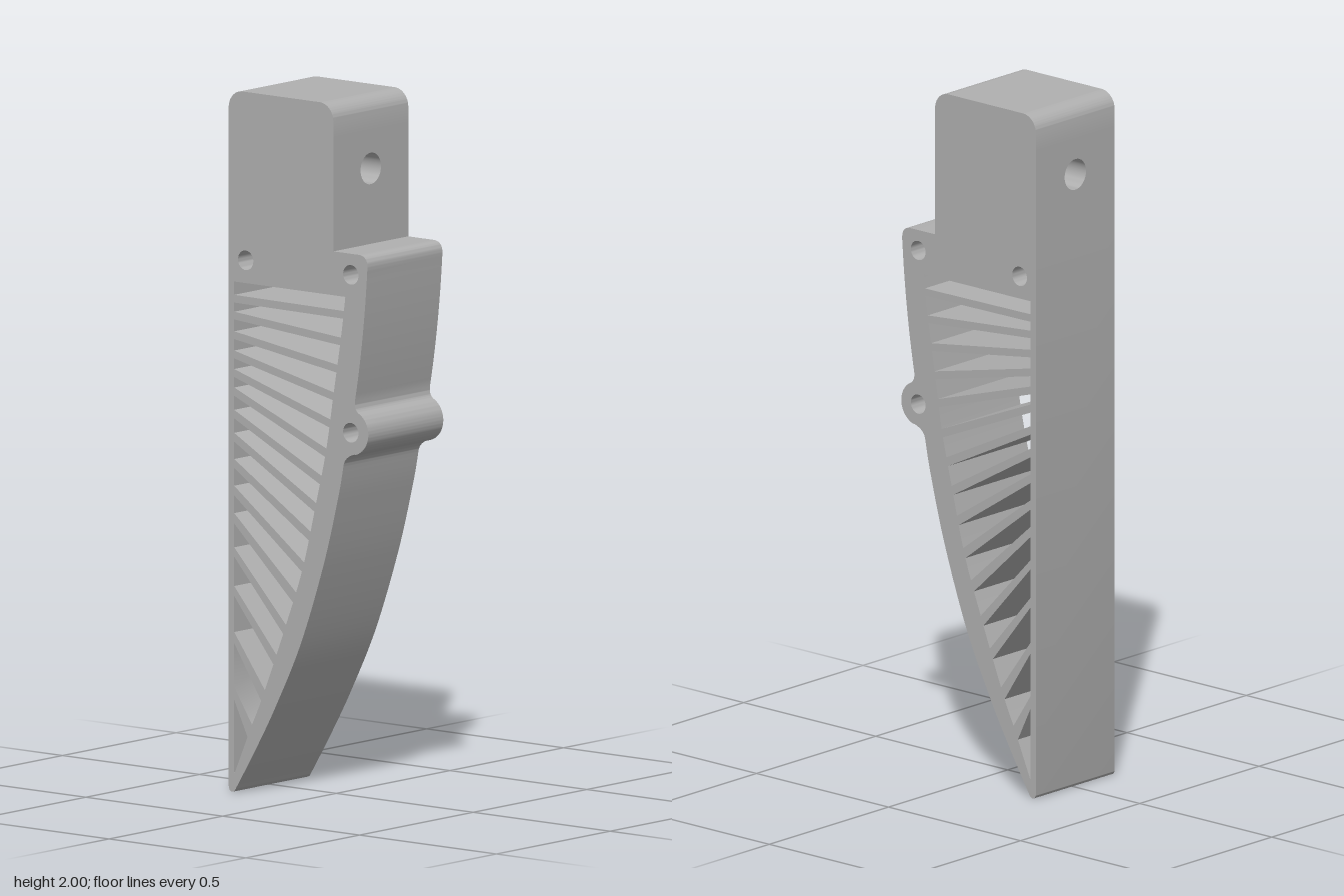
import * as THREE from 'three';
import { toCreasedNormals } from 'three/addons/utils/BufferGeometryUtils.js';

const DEPTH = 0.33;
const LEFT = -0.256, RIGHT = 0.126;   // sides of the mounting block
const WALL = -0.236;                  // inner face of the straight wall
const SPLIT_LOW = 1.7, SPLIT_HIGH = 1.9;

const v = (x, y) => new THREE.Vector2(x, y);

// inner edge of the curved wall, listed from bottom to top
const INNER = [[-0.234, 0.055], [-0.177, 0.185], [-0.13, 0.287], [-0.05, 0.488], [0.014, 0.663],
  [0.062, 0.85], [0.1, 1.01], [0.126, 1.167], [0.153, 1.33], [0.17, 1.453]];
const innerCurve = new THREE.SplineCurve(INNER.map(p => v(...p))).getPoints(90);

function innerX(y) {
  for (let i = 1; i < innerCurve.length; i++) {
    const a = innerCurve[i - 1], b = innerCurve[i];
    if (y <= b.y) return a.x + (b.x - a.x) * (y - a.y) / (b.y - a.y);
  }
  return innerCurve[innerCurve.length - 1].x;
}

// rib centre lines: height at the straight wall, height at the curved wall
const RIBS = [[1.406, 1.403], [1.358, 1.326], [1.302, 1.247], [1.247, 1.167], [1.194, 1.088],
  [1.141, 1.003], [1.077, 0.923], [1.011, 0.843], [0.936, 0.759], [0.859, 0.668],
  [0.78, 0.578], [0.684, 0.483], [0.573, 0.393], [0.44, 0.286], [0.281, 0.18]];

// upper and lower edge heights of each rib
function ribEdges([yl, yr], i) {
  const run = innerX(yr) - WALL;
  const half = (i < 11 ? 0.011 : 0.009) * Math.hypot(run, yl - yr) / run;
  return { top: [yl + half, yr + half], bottom: [yl - half, yr - half] };
}

function circleHole(x, y, r) {
  const p = new THREE.Path();
  p.absarc(x, y, r, 0, Math.PI * 2, true);
  return p;
}

function windowHole(upper, lower) {
  const pts = [v(WALL, upper[0]), v(WALL, lower[0])];
  for (let i = 0; i <= 4; i++) {
    const y = lower[1] + (upper[1] - lower[1]) * i / 4;
    pts.push(v(innerX(y), y));
  }
  return new THREE.Path(pts);
}

function extrude(shape, depth) {
  const g = new THREE.ExtrudeGeometry(shape, { depth, bevelEnabled: false, curveSegments: 16 });
  return toCreasedNormals(g, 0.6);
}

export function createModel() {
  const group = new THREE.Group();
  const grey = new THREE.MeshStandardMaterial({ color: 0xb0b0b0 });
  grey.name = 'plain grey';
  const add = (name, geometry) => {
    const mesh = new THREE.Mesh(geometry, grey);
    mesh.name = name;
    group.add(mesh);
  };

  // ribbed body: outline with mounting tab, side lug and curved wall
  const body = new THREE.Shape();
  body.moveTo(LEFT, SPLIT_LOW);
  body.lineTo(LEFT, 0.018);
  body.quadraticCurveTo(LEFT, 0.002, -0.244, 0);
  body.quadraticCurveTo(-0.235, 0.0, -0.229, 0.012);
  body.splineThru([[-0.16, 0.125], [-0.083, 0.262], [0.008, 0.45], [0.09, 0.68],
    [0.143, 0.875], [0.164, 0.975]].map(p => v(...p)));
  body.quadraticCurveTo(0.17, 1.0, 0.205, 1.009);
  body.absarc(0.19, 1.07, 0.064, -1.3, 1.1, false);
  body.quadraticCurveTo(0.202, 1.137, 0.205, 1.16);
  body.quadraticCurveTo(0.238, 1.34, 0.25, 1.535);
  body.quadraticCurveTo(0.256, 1.58, 0.218, 1.58);
  body.lineTo(RIGHT, 1.58);
  body.lineTo(RIGHT, SPLIT_LOW);
  body.closePath();

  // screw holes and the windows between the ribs
  for (const [x, y] of [[-0.194, 1.52], [0.19, 1.52], [0.19, 1.07]])
    body.holes.push(circleHole(x, y, 0.028));
  let upper = [1.455, 1.455];
  RIBS.forEach((rib, i) => {
    const { top, bottom } = ribEdges(rib, i);
    body.holes.push(windowHole(upper, top));
    upper = bottom;
  });
  body.holes.push(windowHole(upper, [0.057, 0.055]));
  add('ribbedBody', extrude(body, DEPTH).translate(0, 0, -DEPTH / 2));

  // middle of the block, bored from side to side
  const bored = new THREE.Shape([v(-DEPTH / 2, SPLIT_LOW), v(DEPTH / 2, SPLIT_LOW),
    v(DEPTH / 2, SPLIT_HIGH), v(-DEPTH / 2, SPLIT_HIGH)]);
  bored.holes.push(circleHole(0, 1.795, 0.045));
  add('boredBlock', extrude(bored, RIGHT - LEFT).rotateY(Math.PI / 2).translate(LEFT, 0, 0));

  // rounded top of the block
  const r = 0.05;
  const cap = new THREE.Shape();
  cap.moveTo(LEFT, SPLIT_HIGH);
  cap.lineTo(RIGHT, SPLIT_HIGH);
  cap.lineTo(RIGHT, 2 - r);
  cap.absarc(RIGHT - r, 2 - r, r, 0, Math.PI / 2, false);
  cap.lineTo(LEFT + r, 2);
  cap.absarc(LEFT + r, 2 - r, r, Math.PI / 2, Math.PI, false);
  cap.closePath();
  add('roundedCap', extrude(cap, DEPTH).translate(0, 0, -DEPTH / 2));

  return group;
}
